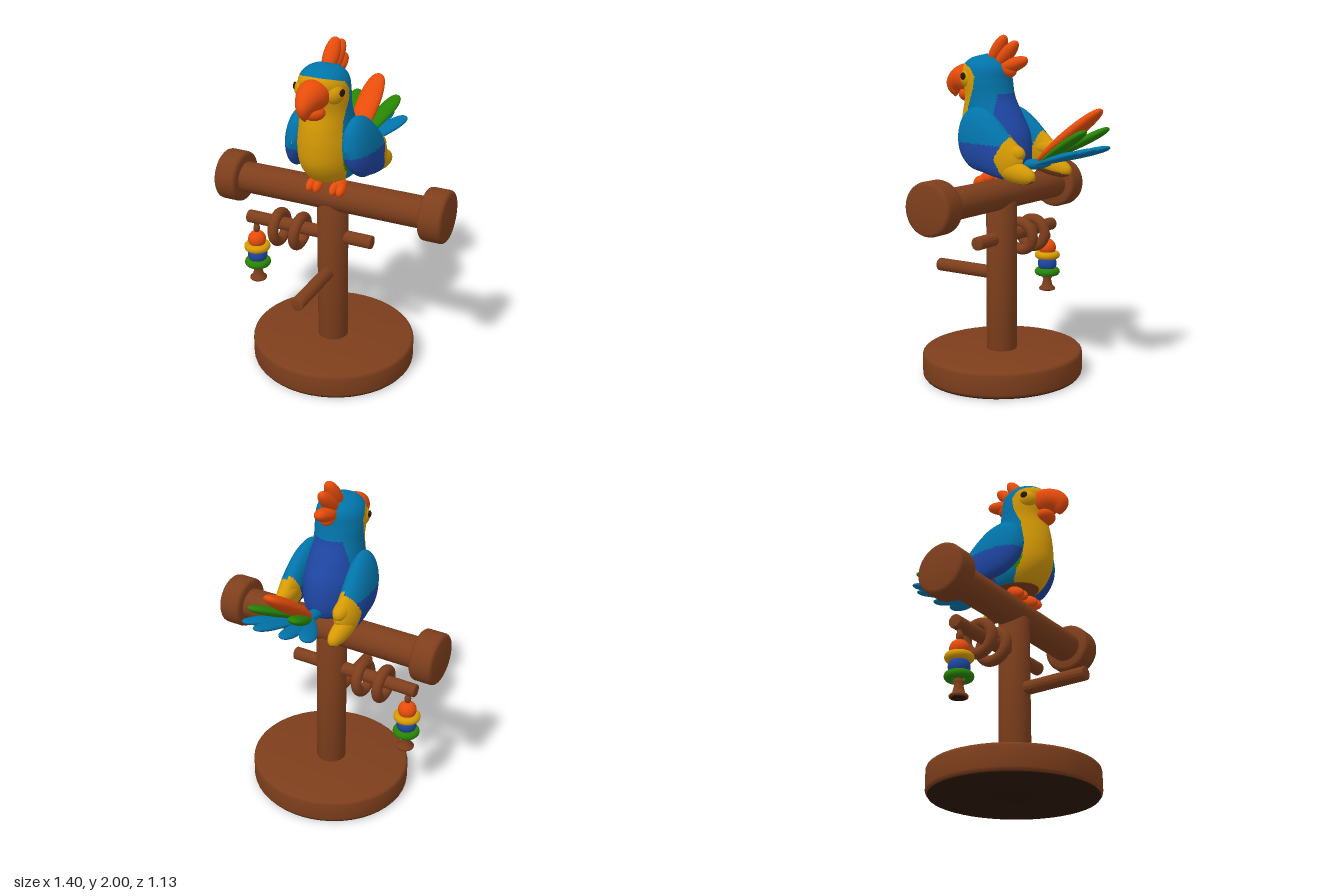
import * as THREE from 'three';
import { toCreasedNormals } from 'three/addons/utils/BufferGeometryUtils.js';

const mat = (name, color) => {
  const m = new THREE.MeshStandardMaterial({ color });
  m.name = name;
  return m;
};

export function createModel() {
  const model = new THREE.Group();
  model.name = 'parrotOnPerch';
  const wood = mat('wood', 0x7d3e1c), sky = mat('skyBlue', 0x0274aa), navy = mat('deepBlue', 0x1e46a3);
  const yellow = mat('yellow', 0xd69a04), orange = mat('orange', 0xe64c0a), green = mat('green', 0x278404);
  const dark = mat('darkBrown', 0x2c1707);

  const add = (parent, name, geo, material, x = 0, y = 0, z = 0) => {
    const m = new THREE.Mesh(geo, material);
    m.name = name;
    m.position.set(x, y, z);
    parent.add(m);
    return m;
  };
  const ball = (parent, name, material, x, y, z, rx, ry = rx, rz = rx) =>
    add(parent, name, new THREE.SphereGeometry(1, 24, 16).scale(rx, ry, rz), material, x, y, z);

  // Upright round rod with softened rims, centred on the origin
  const rod = (r, h, b = 0.01) => {
    const p = [new THREE.Vector2(0, -h / 2)];
    for (const s of [-1, 1])
      for (let i = 0; i <= 3; i++) {
        const a = (s < 0 ? i - 3 : i) * Math.PI / 6;
        p.push(new THREE.Vector2(r - b + b * Math.cos(a), s * (h / 2 - b) + b * Math.sin(a)));
      }
    p.push(new THREE.Vector2(0, h / 2));
    return toCreasedNormals(new THREE.LatheGeometry(p, 48), 0.6);
  };

  // Smooth skin through elliptical stations [cx, cy, cz, radiusX, vy, vz]
  const loft = (stations, rows, n) => {
    const curve = k => new THREE.CatmullRomCurve3(
      stations.map(s => new THREE.Vector3(s[k], s[k + 1], s[k + 2])), false, 'catmullrom', 0.5);
    const centre = curve(0), radius = curve(3), pos = [], idx = [];
    for (let i = 0; i <= rows; i++) {
      const c = centre.getPoint(i / rows), r = radius.getPoint(i / rows);
      for (let j = 0; j < n; j++) {
        const a = j / n * Math.PI * 2, s = Math.sin(a);
        pos.push(c.x + r.x * Math.cos(a), c.y + r.y * s, c.z + r.z * s);
        if (i < rows) {
          const k = (j + 1) % n, p = i * n;
          idx.push(p + j, p + k, p + n + j, p + k, p + n + k, p + n + j);
        }
      }
    }
    const g = new THREE.BufferGeometry();
    g.setAttribute('position', new THREE.Float32BufferAttribute(pos, 3));
    g.setIndex(idx);
    g.computeVertexNormals();
    return g;
  };

  // Sort faces into material groups by a rule on their centre
  const paint = (g, count, rule) => {
    const p = g.attributes.position, src = g.index.array;
    const buckets = Array.from({ length: count }, () => []);
    for (let i = 0; i < src.length; i += 3) {
      const t = [src[i], src[i + 1], src[i + 2]];
      const mid = f => (p[f](t[0]) + p[f](t[1]) + p[f](t[2])) / 3;
      buckets[rule(mid('getX'), mid('getY'), mid('getZ'))].push(...t);
    }
    let start = 0;
    buckets.forEach((b, i) => { g.addGroup(start, b.length, i); start += b.length; });
    g.setIndex(buckets.flat());
    return g;
  };

  // Feather: blunt teardrop from root to tip; positive taper widens the tip
  const feather = (root, tip, width, thick, taper = 0.3) => {
    const a = new THREE.Vector3(...root), b = new THREE.Vector3(...tip);
    const dir = b.clone().sub(a), len = dir.length();
    dir.normalize();
    const g = new THREE.SphereGeometry(1, 24, 24), p = g.attributes.position;
    for (let i = 0; i < p.count; i++) {
      const y = p.getY(i), blunt = y > 0 ? Math.max(1 - y * y, 0.001) ** -0.1 : 1;
      const f = (1 - taper + taper * y) * blunt;
      p.setXYZ(i, p.getX(i) * f * width, y * len / 2, p.getZ(i) * f * thick);
    }
    const side = new THREE.Vector3(1, 0, 0).addScaledVector(dir, -dir.x).normalize();
    g.applyMatrix4(new THREE.Matrix4().makeBasis(side, dir, side.clone().cross(dir)).setPosition(a.add(b).multiplyScalar(0.5)));
    g.computeVertexNormals();
    return g;
  };

  // Stand
  const Z = 0.1;
  const stand = new THREE.Group();
  stand.name = 'stand';
  model.add(stand);
  add(stand, 'base', rod(0.491, 0.151, 0.022).scale(1, 1, 0.957), wood, 0, 0.0795, 0.093);
  add(stand, 'basePad', rod(0.478, 0.008, 0.002).scale(1, 1, 0.957), dark, 0, 0.004, 0.093);
  add(stand, 'post', rod(0.09, 0.95), wood, 0, 0.575, Z);
  add(stand, 'perchBar', rod(0.09, 1.2).rotateZ(Math.PI / 2).scale(1, 1, 1.07), wood, 0, 1.085, Z);
  for (const s of [-1, 1])
    add(stand, 'perchEndCap', rod(0.15, 0.138, 0.022).rotateZ(Math.PI / 2), wood, s * 0.633, 1.085, Z);
  add(stand, 'toyBar', rod(0.039, 0.81, 0.006).rotateZ(Math.PI / 2), wood, -0.155, 0.827, Z);
  add(stand, 'frontPeg', rod(0.039, 0.42, 0.006).rotateX(Math.PI / 2), wood, 0, 0.608, 0.355);
  [[-0.347, 0.03], [-0.212, -0.08]].forEach(([x, tilt]) => {
    const ring = add(stand, 'woodRing', new THREE.TorusGeometry(0.086, 0.032, 16, 40).rotateY(Math.PI / 2), wood, x, 0.802, Z + 0.005);
    ring.rotation.z = tilt;
  });

  // Hanging toy
  const toy = new THREE.Group();
  toy.name = 'hangingToy';
  toy.position.set(-0.51, 0, Z);
  model.add(toy);
  add(toy, 'cord', rod(0.014, 0.32, 0.004), wood, 0, 0.64, 0);
  ball(toy, 'cordKnot', wood, 0, 0.755, 0, 0.02, 0.03);
  ball(toy, 'orangeBead', orange, 0, 0.68, 0, 0.055);
  ball(toy, 'blueBead', navy, 0, 0.578, 0, 0.06);
  [[yellow, 0.632], [green, 0.525]].forEach(([m, y]) =>
    add(toy, 'discBead', new THREE.TorusGeometry(0.056, 0.024, 14, 36).rotateX(Math.PI / 2), m, 0, y, 0));
  const bell = [[0, 0.408], [0.05, 0.408], [0.052, 0.418], [0.034, 0.435], [0.024, 0.475], [0.032, 0.49], [0.028, 0.503], [0, 0.505]];
  add(toy, 'bell', new THREE.LatheGeometry(bell.map(p => new THREE.Vector2(...p)), 28), wood);
  add(toy, 'bellMouth', new THREE.CylinderGeometry(0.042, 0.042, 0.004, 28), dark, 0, 0.407, 0);

  // Head and body: [y, zCentre, radiusX, radiusZ] from crown to underside
  const bird = new THREE.Group();
  bird.name = 'parrot';
  model.add(bird);
  const bodyGeo = loft([
    [1.897, 0.2, 0.003, 0.003], [1.872, 0.203, 0.088, 0.092], [1.82, 0.2, 0.133, 0.142], [1.74, 0.192, 0.143, 0.145],
    [1.65, 0.178, 0.141, 0.15], [1.55, 0.16, 0.15, 0.187], [1.45, 0.14, 0.165, 0.215], [1.35, 0.128, 0.165, 0.217],
    [1.27, 0.11, 0.15, 0.19], [1.22, 0.1, 0.105, 0.14], [1.195, 0.1, 0.003, 0.003],
  ].map(([y, z, rx, rz]) => [0, y, z, rx, 0, rz]), 130, 112);
  // Rear limit of the yellow face and breast, [y, z]
  const limit = [[1.85, 0.32], [1.82, 0.225], [1.77, 0.188], [1.7, 0.198], [1.6, 0.24], [1.48, 0.262], [1.35, 0.25], [1.27, 0.2], [1.19, 0.15]];
  const rearEdge = y => {
    const i = Math.max(1, limit.findIndex(p => p[0] <= y)), [y0, z0] = limit[i - 1], [y1, z1] = limit[i];
    return z0 + (z1 - z0) * (y0 - y) / (y0 - y1);
  };
  paint(bodyGeo, 5, (x, y, z) => {
    if (y < 1.228) return 4;
    const edge = rearEdge(y);
    if (z > edge) return 1;
    if (y < 1.51 && y > 1.3 && z > edge - 0.028) return 3;
    return y < 1.67 && z < 0.065 ? 2 : 0;
  });
  add(bird, 'body', bodyGeo, [sky, yellow, navy, green, wood]);

  // Beak
  add(bird, 'upperBeak', loft([
    [0, 1.755, 0.29, 0.088, 0.085, 0], [0, 1.757, 0.35, 0.083, 0.083, 0.01], [0, 1.742, 0.405, 0.064, 0.062, 0.035],
    [0, 1.71, 0.44, 0.043, 0.03, 0.045], [0, 1.675, 0.442, 0.026, 0.01, 0.034], [0, 1.645, 0.432, 0.003, 0, 0.003],
  ], 30, 32), orange);
  ball(bird, 'lowerBeak', orange, 0, 1.663, 0.33, 0.066, 0.046, 0.058);

  // Crest
  ball(bird, 'crestBase', orange, 0, 1.84, 0.105, 0.04, 0.05, 0.06);
  [[[0, 1.83, 0.175], [0.01, 1.999, 0.065], 0.044], [[0, 1.81, 0.14], [0.008, 1.965, -0.015], 0.042],
    [[0, 1.8, 0.12], [-0.005, 1.865, -0.075], 0.045], [[0, 1.85, 0.09], [0, 1.775, 0.01], 0.042]]
    .forEach(([a, b, w]) => add(bird, 'crestFeather', feather(a, b, w, 0.039, -0.05), orange));

  // Tail
  add(bird, 'tailRoot', feather([0, 1.26, 0], [0, 1.29, -0.24], 0.036, 0.03, 0), sky);
  add(bird, 'tailFeatherTop', feather([0, 1.29, -0.15], [0, 1.6, -0.56], 0.08, 0.042, 0.1), orange);
  for (const s of [-1, 1]) {
    add(bird, 'tailFeatherMiddle', feather([s * 0.01, 1.28, -0.16], [s * 0.135, 1.49, -0.535], 0.066, 0.033), green);
    add(bird, 'tailFeatherOuter', feather([s * 0.005, 1.27, -0.13], [s * 0.198, 1.375, -0.51], 0.064, 0.028), sky);
    add(bird, 'tailFeatherInner', feather([s * 0.01, 1.27, -0.13], [s * 0.085, 1.39, -0.565], 0.062, 0.026), sky);
  }

  // One side holds the wing, cheek, eye and foot; the other is mirrored
  for (const s of [1, -1]) {
    const side = new THREE.Group();
    side.name = s > 0 ? 'leftSide' : 'rightSide';
    side.scale.x = s;
    bird.add(side);

    const wing = new THREE.Group();
    wing.name = 'wing';
    wing.position.set(0.187, 1.4, 0);
    wing.rotation.z = 0.12;
    side.add(wing);
    // [z, low, high, xCentre, radiusX] from rear to front
    const wingGeo = loft([
      [-0.175, 1.31, 1.315, -0.01, 0.003], [-0.14, 1.235, 1.39, -0.01, 0.042], [-0.08, 1.205, 1.45, 0, 0.057],
      [0, 1.215, 1.53, 0.004, 0.066], [0.08, 1.235, 1.585, 0.004, 0.07], [0.17, 1.26, 1.6, 0, 0.067],
      [0.245, 1.33, 1.55, -0.012, 0.048], [0.282, 1.44, 1.445, -0.02, 0.003],
    ].map(([z, lo, hi, x, rx]) => [x, (lo + hi) / 2 - 1.4, z, rx, (hi - lo) / 2, 0]), 80, 72);
    paint(wingGeo, 4, (x, y, z) => {
      if (z < -0.025 - Math.abs(y + 0.09) * 0.5 + (x < 0 ? 0.025 : 0)) return 2;
      if (y > -0.005 - 0.04 * (0.2 - z)) return 0;
      return y < -0.155 && x < 0 ? 3 : 1;
    });
    add(wing, 'wingCover', wingGeo, [sky, navy, yellow, wood]);
    add(wing, 'upperWingFeather', feather([-0.01, -0.03, 0.03], [-0.01, -0.055, -0.18], 0.05, 0.055, 0), yellow);
    const lower = paint(feather([0, -0.11, 0.04], [-0.015, -0.18, -0.255], 0.052, 0.06, 0), 2,
      (x, y, z) => (x < 0 && y < -0.135 + 0.24 * z ? 1 : 0));
    add(wing, 'lowerWingFeather', lower, [yellow, wood]);

    ball(side, 'cheek', yellow, 0.072, 1.757, 0.256, 0.07, 0.066, 0.066);
    const eye = ball(side, 'eye', dark, 0.139, 1.77, 0.27, 0.008, 0.021, 0.021);
    eye.rotation.y = -0.2;

    // Foot with two toes gripping the bar
    ball(side, 'leg', orange, 0.072, 1.185, 0.15, 0.038, 0.034, 0.045);
    for (const dx of [-0.021, 0.021]) {
      const toe = ball(side, 'toe', orange, 0.072 + dx, 1.165, 0.185, 0.026, 0.032, 0.048);
      toe.rotation.x = 0.45;
    }
  }
  return model;
}
